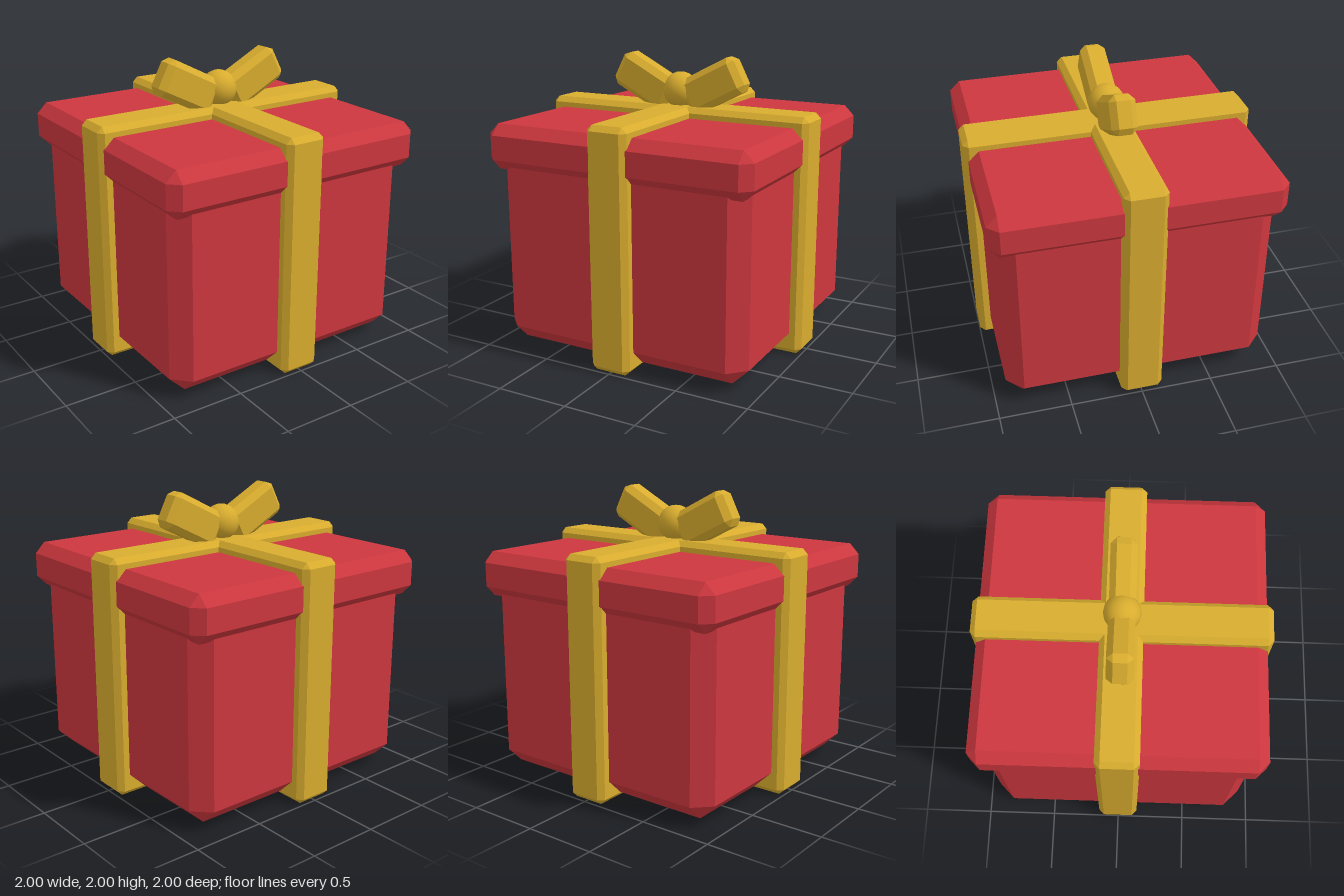
import * as THREE from 'three';
import { ConvexGeometry } from 'three/addons/geometries/ConvexGeometry.js';

// Box with every edge cut by a flat 45 degree chamfer c
function chamferBox(w, h, d, c) {
  const [x, y, z] = [w / 2, h / 2, d / 2];
  const points = [];
  for (const sx of [-1, 1]) for (const sy of [-1, 1]) for (const sz of [-1, 1]) {
    points.push(
      new THREE.Vector3(sx * x, sy * (y - c), sz * (z - c)),
      new THREE.Vector3(sx * (x - c), sy * y, sz * (z - c)),
      new THREE.Vector3(sx * (x - c), sy * (y - c), sz * z));
  }
  return new ConvexGeometry(points);
}

export function createModel() {
  const group = new THREE.Group();
  const red = new THREE.MeshStandardMaterial({ name: 'red paper', color: 0xcc373e });
  const gold = new THREE.MeshStandardMaterial({ name: 'gold ribbon', color: 0xd8ac2e });

  const add = (name, geometry, material, x, y, z) => {
    const mesh = new THREE.Mesh(geometry, material);
    mesh.name = name;
    mesh.position.set(x, y, z);
    group.add(mesh);
    return mesh;
  };

  // Box body and overhanging lid
  add('body', chamferBox(1.838, 1.52, 1.838, 0.112), red, 0, 0.8, 0);
  add('lid', chamferBox(1.944, 0.31, 1.944, 0.072), red, 0, 1.425, 0);

  // Two crossing ribbons wrapped all the way round
  const ribbon = chamferBox(2, 1.652, 0.29, 0.037);
  add('ribbonAcross', ribbon, gold, 0, 0.826, -0.003);
  add('ribbonFrontToBack', ribbon, gold, -0.003, 0.826, 0).rotation.y = Math.PI / 2;

  // Bow loops, mirrored, with a round knot between them
  const loop = chamferBox(0.455, 0.262, 0.176, 0.042);
  for (const s of [-1, 1]) {
    add(s > 0 ? 'bowLoopLeft' : 'bowLoopRight', loop, gold, s * 0.266, 1.798, 0)
      .rotation.z = s * 0.477;
  }
  add('knot', new THREE.SphereGeometry(0.126, 16, 12), gold, 0, 1.752, 0);

  return group;
}
